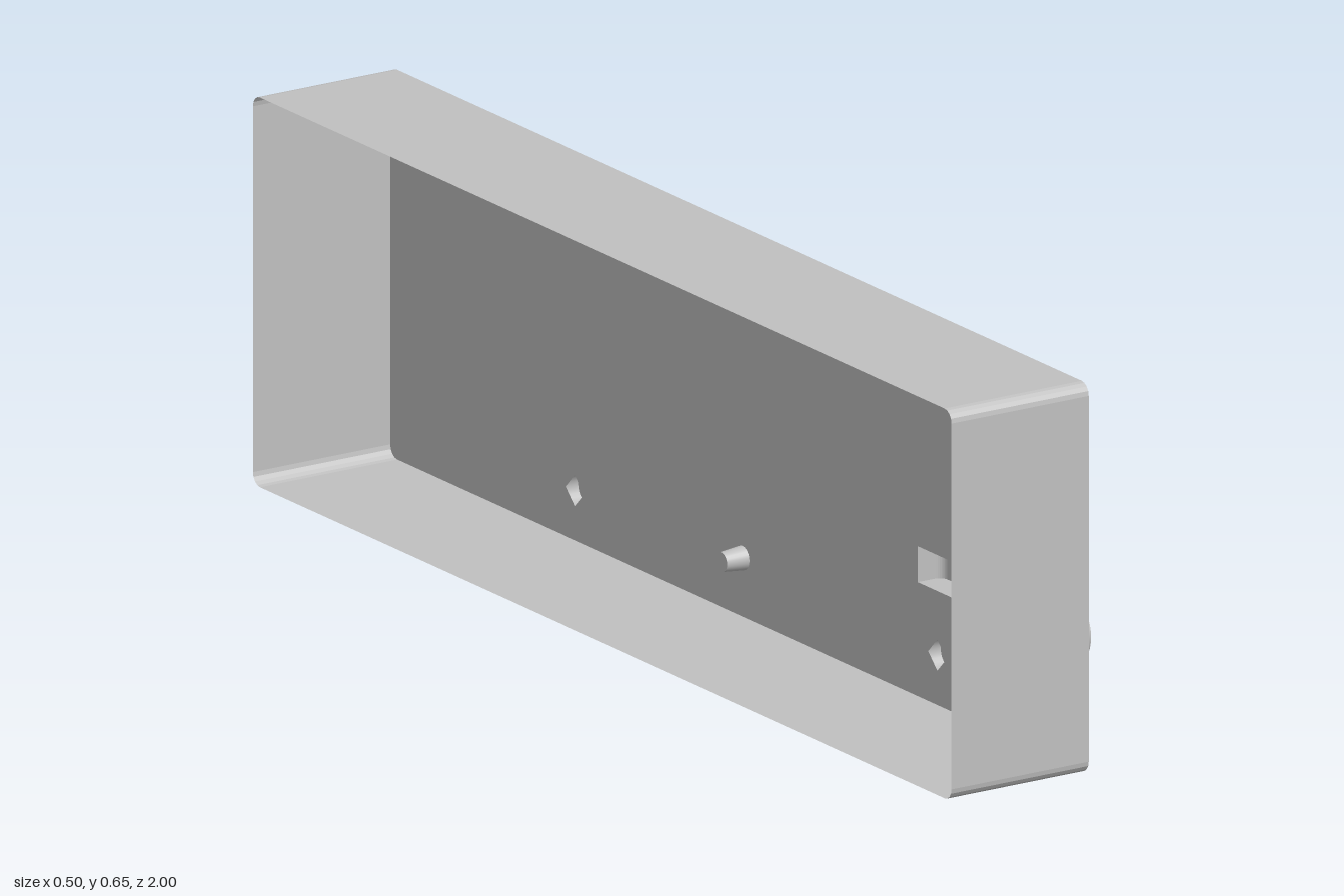
import * as THREE from 'three';
import { mergeGeometries } from 'three/addons/utils/BufferGeometryUtils.js';

const FACE = 0.012, BACK = -0.25, HEIGHT = 0.65;

// Open flat-shaded band: a 2D outline swept along z from 0 to depth
function band(points, depth) {
  const pos = [], uv = [];
  for (let i = 0; i < points.length - 1; i++) {
    const a = points[i], b = points[i + 1];
    pos.push(a.x, a.y, 0, b.x, b.y, 0, b.x, b.y, depth);
    pos.push(a.x, a.y, 0, b.x, b.y, depth, a.x, a.y, depth);
    uv.push(0, 0, 1, 0, 1, 1, 0, 0, 1, 1, 0, 1);
  }
  const g = new THREE.BufferGeometry();
  g.setAttribute('position', new THREE.Float32BufferAttribute(pos, 3));
  g.setAttribute('uv', new THREE.Float32BufferAttribute(uv, 2));
  g.computeVertexNormals();
  return g;
}

// Rounded outline of the case; shape x runs along -z of the model
function caseShape() {
  const r = 0.02, w = 1, q = Math.PI / 2, s = new THREE.Shape();
  s.moveTo(-w + r, 0);
  s.lineTo(w - r, 0);
  s.absarc(w - r, r, r, -q, 0);
  s.lineTo(w, HEIGHT - r);
  s.absarc(w - r, HEIGHT - r, r, 0, q);
  s.lineTo(-w + r, HEIGHT);
  s.absarc(-w + r, HEIGHT - r, r, q, 2 * q);
  s.lineTo(-w, r);
  s.absarc(-w + r, r, r, 2 * q, 3 * q);
  return s;
}

function roundHole(z, y, r) {
  const p = new THREE.Path();
  p.absarc(-z, y, r, 0, Math.PI * 2, true);
  return p;
}

// Turned part along +x, one lathe per straight profile segment for crisp rims
function turned(profile, segments = 48) {
  const parts = [];
  for (let i = 0; i < profile.length - 1; i++) {
    const pts = [profile[i], profile[i + 1]].map(([r, h]) => new THREE.Vector2(r, h));
    parts.push(new THREE.LatheGeometry(pts, segments));
  }
  return mergeGeometries(parts).rotateZ(-Math.PI / 2);
}

// Push button, hollow at the panel, with rounded outer corners
function buttonGeometry() {
  const d = 0.047, w = 0.056, r = 0.015, h = 0.06, s = new THREE.Shape();
  s.moveTo(0, -w);
  s.lineTo(d - r, -w);
  s.absarc(d - r, -w + r, r, -Math.PI / 2, 0);
  s.lineTo(d, w - r);
  s.absarc(d - r, w - r, r, 0, Math.PI / 2);
  s.lineTo(0, w);
  const cap = () => new THREE.ShapeGeometry(s, 4).toNonIndexed();
  const bottom = cap();
  // turn the lower cap outward
  bottom.rotateX(Math.PI);
  return mergeGeometries([band(s.getPoints(4), h), bottom, cap().translate(0, 0, h)])
    .rotateX(-Math.PI / 2);
}

export function createModel() {
  const model = new THREE.Group();
  const grey = new THREE.MeshStandardMaterial({ color: 0xc0c0c0, side: THREE.DoubleSide });
  grey.name = 'light grey';
  const add = (name, geometry, x = 0, y = 0, z = 0) => {
    const mesh = new THREE.Mesh(geometry, grey);
    mesh.name = name;
    mesh.position.set(x, y, z);
    model.add(mesh);
  };

  // Thin case walls, open at the rear
  const outline = caseShape().getPoints(2);
  outline.push(outline[0].clone());
  add('caseWalls', band(outline, FACE - BACK).rotateY(Math.PI / 2), BACK);

  // Control panel with its openings
  const panel = caseShape();
  panel.holes.push(roundHole(0.01, 0.098, 0.02));
  for (const z of [0.567, -0.47]) panel.holes.push(roundHole(z, 0.083, 0.026));
  const slot = new THREE.Path();
  slot.moveTo(-0.623, 0.19);
  slot.lineTo(-0.623, 0.25);
  slot.lineTo(-0.511, 0.25);
  slot.lineTo(-0.511, 0.19);
  panel.holes.push(slot);
  add('controlPanel', new THREE.ShapeGeometry(panel, 2).rotateY(Math.PI / 2), FACE);

  // Large dials: collar with a recess around an inner knob
  for (const [z, reach] of [[0.24, 0.238], [-0.8, 0.204]]) {
    add('dialCollar', turned([[0.12, 0], [0.12, 0.131], [0.1, 0.131], [0.1, 0.02], [0, 0.02]]),
      FACE, 0.198, z);
    add('dialKnob', turned([[0.084, 0.02], [0.084, reach], [0, reach]]), FACE, 0.198, z);
  }

  // Small knobs
  for (const z of [0.777, -0.238]) {
    add('smallKnob', turned([[0.056, 0], [0.056, 0.116], [0, 0.116]]), FACE, 0.163, z);
  }

  // Push buttons with an indicator light below
  for (const z of [0.567, -0.475]) add('pushButton', buttonGeometry(), FACE, 0.19, z);
  for (const z of [0.567, -0.47]) {
    add('indicatorLight', turned([[0.026, 0], [0.026, 0.024], [0, 0.024]], 24), FACE, 0.083, z);
  }

  // Socket sunk behind the panel
  add('socket', turned([[0.02, 0], [0.016, -0.04], [0, -0.04]], 24), FACE, 0.098, 0.01);
  return model;
}
